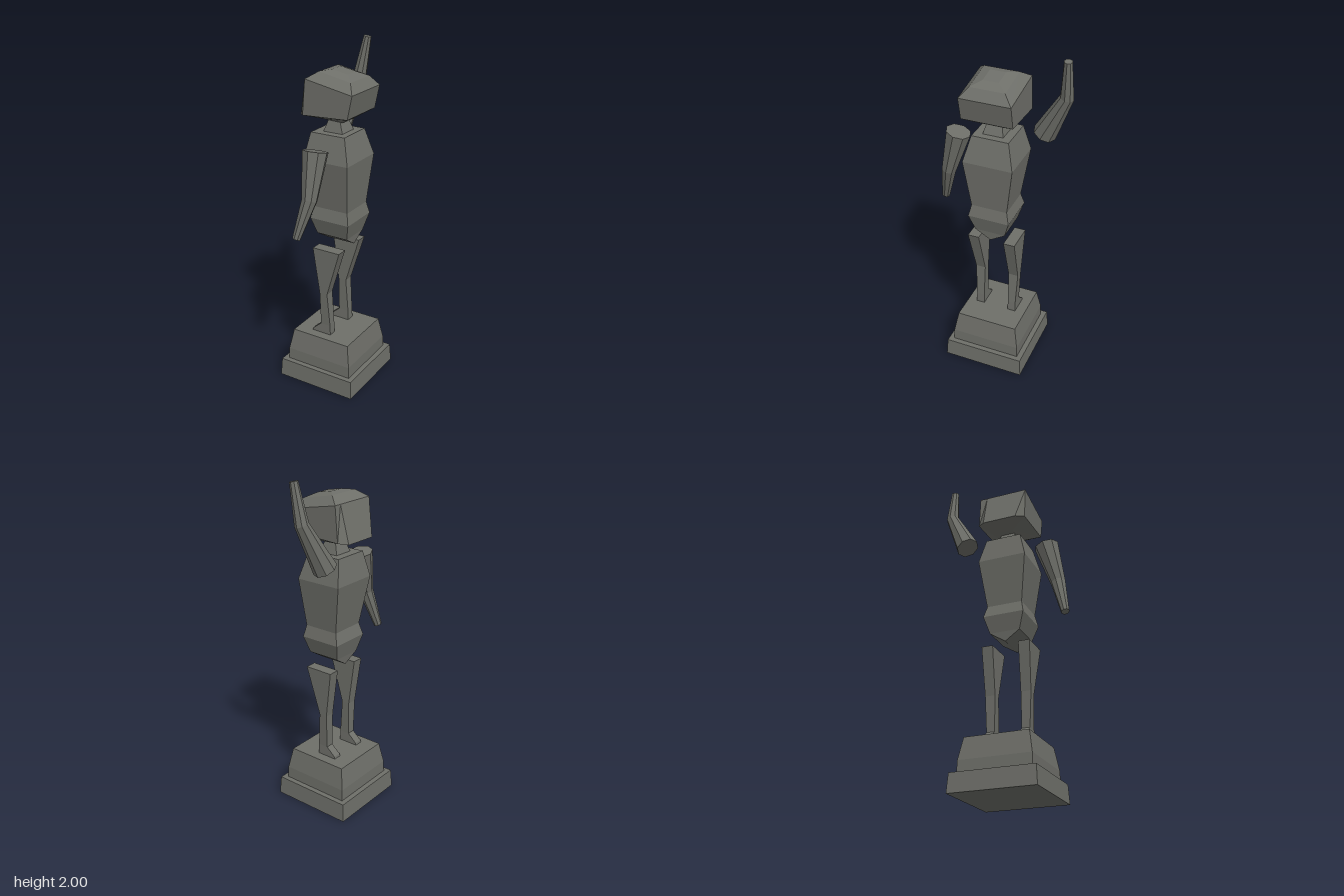
import * as THREE from 'three';

const stone = new THREE.MeshStandardMaterial({ color: 0x6e6f69 });
stone.name = 'grey stone';
const CZ = 0.008; // the statue's middle plane

// Skin a stack of equal-length rings (counter-clockwise seen from the far end), capped at both ends.
function loft(name, rings) {
  const pos = [];
  const tri = (a, b, c) => {
    const n = b.clone().sub(a).cross(c.clone().sub(a));
    if (n.lengthSq() > 1e-14) for (const p of [a, b, c]) pos.push(p.x, p.y, p.z);
  };
  const n = rings[0].length;
  for (let r = 0; r + 1 < rings.length; r++) {
    const lo = rings[r], hi = rings[r + 1];
    for (let i = 0; i < n; i++) {
      const j = (i + 1) % n;
      tri(lo[i], lo[j], hi[j]);
      tri(lo[i], hi[j], hi[i]);
    }
  }
  const first = rings[0], last = rings[rings.length - 1];
  for (let i = 1; i + 1 < n; i++) {
    tri(first[0], first[i + 1], first[i]);
    tri(last[0], last[i], last[i + 1]);
  }
  const geo = new THREE.BufferGeometry();
  geo.setAttribute('position', new THREE.Float32BufferAttribute(pos, 3));
  geo.computeVertexNormals();
  const mesh = new THREE.Mesh(geo, stone);
  mesh.name = name;
  return mesh;
}

const v = (x, y, z) => new THREE.Vector3(x, y, z);

// Level rectangle from x0 to x1, half depth h around z
const rect = (y, x0, x1, h, z = CZ) =>
  [v(x1, y, z + h), v(x1, y, z - h), v(x0, y, z - h), v(x0, y, z + h)];

// Head section: face edge at xf, cheek corner at xm, back of the head at xb
const headRing = (xf, yf, xm, ym, xb, yb, hf, h) => [
  v(xb, yb, CZ + h), v(xb, yb, CZ - h), v(xm, ym, CZ - h),
  v(xf, yf, CZ - hf), v(xf, yf, CZ + hf), v(xm, ym, CZ + h),
];

// Eight-sided tapering limb through a few joints
function limb(name, joints, radii) {
  const rings = joints.map((p, k) => {
    const t = v(0, 0, 0);
    if (k > 0) t.add(p.clone().sub(joints[k - 1]).normalize());
    if (k + 1 < joints.length) t.add(joints[k + 1].clone().sub(p).normalize());
    t.normalize();
    const u = v(1, 0, 0).addScaledVector(t, -t.x).normalize();
    const w = t.clone().cross(u);
    return Array.from({ length: 8 }, (_, i) => {
      const a = (i * Math.PI) / 4;
      return p.clone().addScaledVector(u, radii[k] * Math.cos(a)).addScaledVector(w, radii[k] * Math.sin(a));
    });
  });
  return loft(name, rings);
}

export function createModel() {
  const model = new THREE.Group();
  model.name = 'statue';

  // Stepped pedestal
  model.add(loft('pedestalSlab', [rect(0, -0.25, 0.25, 0.25), rect(0.11, -0.243, 0.243, 0.243)]));
  model.add(loft('pedestalBlock', [
    rect(0.11, -0.212, 0.212, 0.212),
    rect(0.18, -0.21, 0.21, 0.21),
    rect(0.308, -0.187, 0.187, 0.187),
  ]));

  // Legs with the toes pointing to -x
  for (const s of [1, -1]) {
    const z = (d) => 0.01 + s * d;
    model.add(loft(s > 0 ? 'frontLeg' : 'backLeg', [
      rect(0.305, -0.09, 0.035, 0.025, z(0.104)),
      rect(0.322, -0.085, 0.035, 0.025, z(0.104)),
      rect(0.37, -0.03, 0.033, 0.024, z(0.104)),
      rect(0.58, -0.032, 0.018, 0.03, z(0.107)),
      rect(0.868, -0.07, 0.105, 0.034, z(0.112)),
    ]));
  }

  // Torso, closing to a ridge at the bottom
  model.add(loft('torso', [
    rect(0.883, -0.066, 0.117, 0.001),
    rect(0.94, -0.075, 0.122, 0.091),
    rect(1.04, -0.1, 0.148, 0.123),
    rect(1.11, -0.08, 0.133, 0.107),
    rect(1.395, -0.127, 0.156, 0.146),
    rect(1.545, -0.1, 0.115, 0.108),
  ]));

  model.add(loft('neck', [rect(1.54, -0.05, 0.075, 0.061), rect(1.615, -0.025, 0.045, 0.041)]));

  // Head, slanting from the brow down to the back
  model.add(loft('head', [
    headRing(-0.06, 1.61, -0.06, 1.61, 0.07, 1.605, 0.045, 0.045),
    headRing(-0.165, 1.635, -0.125, 1.645, 0.155, 1.658, 0.103, 0.148),
    headRing(-0.108, 1.845, -0.108, 1.845, 0.183, 1.79, 0.103, 0.148),
    headRing(-0.05, 1.883, -0.05, 1.883, 0.145, 1.845, 0.1, 0.1),
    headRing(0, 1.89, 0, 1.89, 0.095, 1.872, 0.045, 0.045),
  ]));

  // Lowered and raised arms, floating free of the shoulders
  model.add(limb('loweredArm',
    [v(-0.04, 1.013, 0.362), v(0.014, 1.235, 0.308), v(0.011, 1.49, 0.242)],
    [0.024, 0.044, 0.073]));
  model.add(limb('raisedArm',
    [v(-0.107, 1.522, -0.222), v(-0.062, 1.78, -0.352), v(-0.022, 1.997, -0.361)],
    [0.068, 0.039, 0.023]));

  return model;
}
